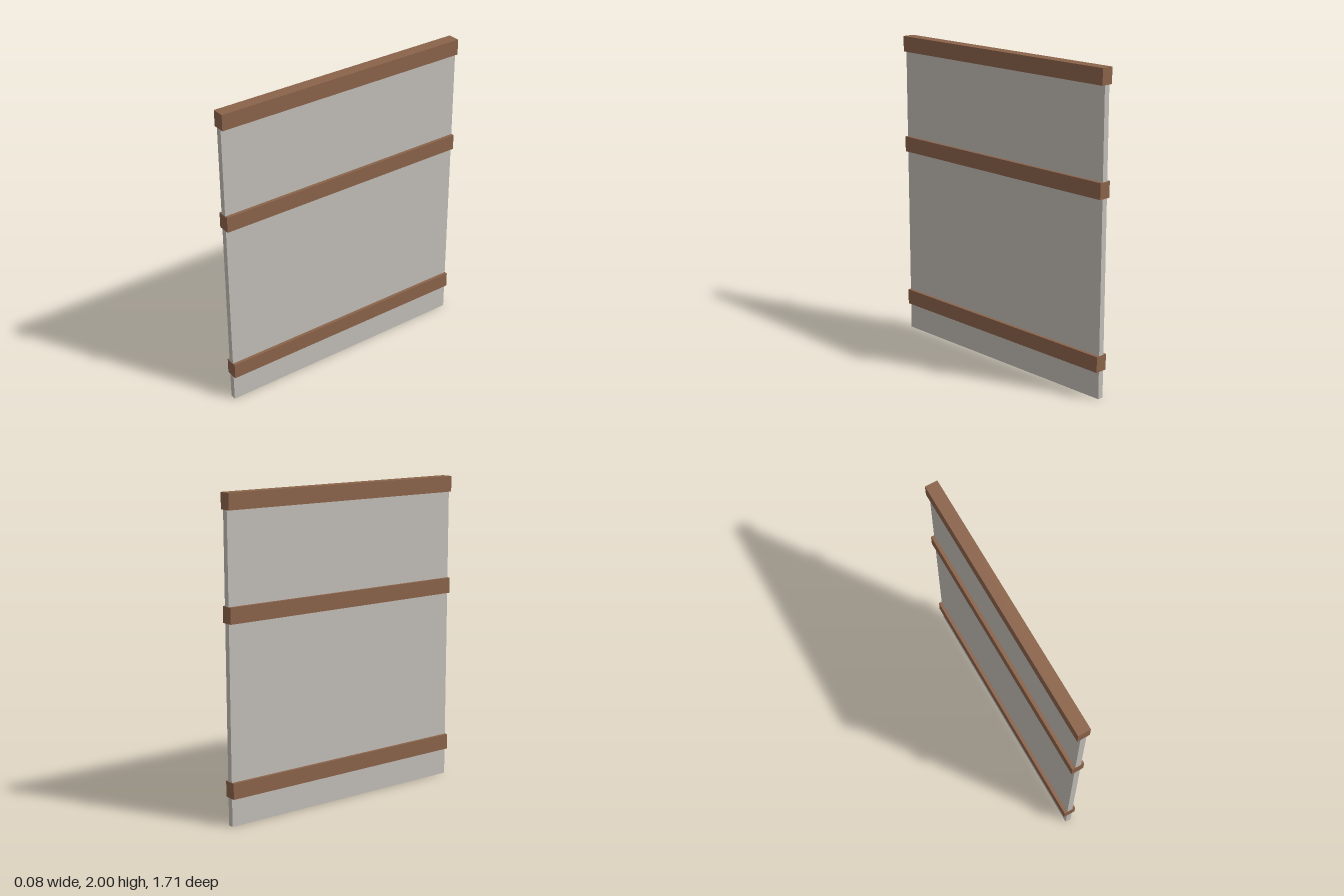
import * as THREE from 'three';

export function createModel() {
  const model = new THREE.Group();
  model.name = 'wallPanel';

  const plaster = new THREE.MeshStandardMaterial({ color: 0xc2bdb7 });
  plaster.name = 'pale grey plaster';
  const wood = new THREE.MeshStandardMaterial({ color: 0x8b634a });
  wood.name = 'brown wood';

  const length = 1.714;

  function addBox(name, width, bottom, top, depth, material) {
    const mesh = new THREE.Mesh(new THREE.BoxGeometry(width, top - bottom, depth), material);
    mesh.name = name;
    mesh.position.y = (bottom + top) / 2;
    model.add(mesh);
  }

  // Thin wall slab, a hair shorter than the rails so their ends stay clean
  addBox('panel', 0.038, 0, 1.95, length - 0.002, plaster);

  // Horizontal timber rails standing proud of both faces
  const rails = [
    ['bottomRail', 0.175, 0.275],
    ['middleRail', 1.238, 1.338],
    ['topRail', 1.9, 2],
  ];
  for (const [name, bottom, top] of rails) addBox(name, 0.08, bottom, top, length, wood);

  return model;
}
